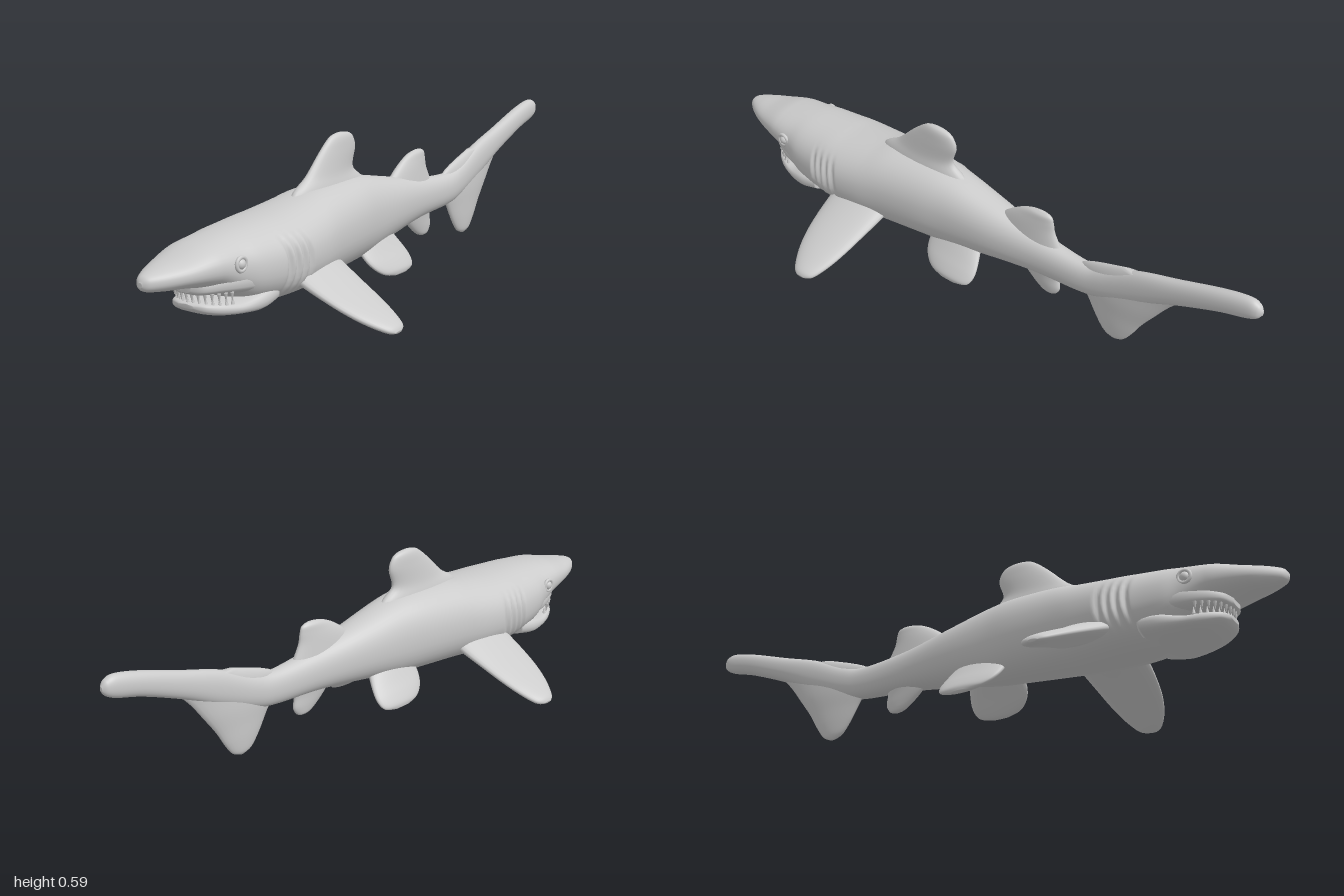
import * as THREE from 'three';

const grey = new THREE.MeshStandardMaterial({ color: 0xcccccc });

// Catmull-Rom blend of four values
function spline(a, b, c, d, t) {
  return 0.5 * (2 * b + (c - a) * t + (2 * a - 5 * b + 4 * c - d) * t * t + (3 * b - a - 3 * c + d) * t * t * t);
}

// Smooth skin through rows of [span, low, high, halfThickness].
// Chord lies on x, span on y, thickness on z; power < 1 squares the section.
function loft(rows, steps, sides, power = 1) {
  const row = (i) => rows[Math.min(Math.max(i, 0), rows.length - 1)];
  const rings = (rows.length - 1) * steps + 1;
  const pos = [], index = [];
  const bend = (v) => Math.sign(v) * Math.abs(v) ** power;
  for (let r = 0; r < rings; r++) {
    const k = Math.min(Math.floor(r / steps), rows.length - 2);
    const t = r / steps - k;
    const [span, lo, hi, thick] = [0, 1, 2, 3].map((n) =>
      spline(row(k - 1)[n], row(k)[n], row(k + 1)[n], row(k + 2)[n], t));
    for (let j = 0; j < sides; j++) {
      const a = (j / sides) * Math.PI * 2;
      pos.push((lo + hi) / 2 + ((hi - lo) / 2) * bend(Math.cos(a)), span, thick * bend(Math.sin(a)));
    }
  }
  for (let r = 0; r < rings - 1; r++) {
    for (let j = 0; j < sides; j++) {
      const a = r * sides + j, b = r * sides + ((j + 1) % sides);
      index.push(a, a + sides, b, a + sides, b + sides, b);
    }
  }
  const last = (rings - 1) * sides;
  for (let j = 1; j < sides - 1; j++) index.push(0, j, j + 1, last, last + j + 1, last + j);
  const geo = new THREE.BufferGeometry();
  geo.setAttribute('position', new THREE.Float32BufferAttribute(pos, 3));
  geo.setIndex(index);
  geo.computeVertexNormals();
  return geo;
}

// Lengthwise skin: rows are [forward, bottom, top, halfWidth], nose first
function hull(rows, steps, sides, power) {
  return loft(rows.map(([f, ...rest]) => [-f, ...rest]), steps, sides, power).rotateZ(Math.PI / 2);
}

export function createModel() {
  const shark = new THREE.Group();
  shark.name = 'shark';
  const add = (name, geo, x = 0, y = 0, z = 0, rx = 0) => {
    const mesh = new THREE.Mesh(geo, grey);
    mesh.name = name;
    mesh.position.set(x, y, z);
    mesh.rotation.x = rx;
    shark.add(mesh);
    return mesh;
  };

  // Body from the long snout to the tip of the upper tail lobe
  const body = hull([
    [1.222, 0.268, 0.285, 0.008], [1.205, 0.252, 0.304, 0.032], [1.15, 0.242, 0.32, 0.067],
    [1.08, 0.235, 0.335, 0.098], [1.0, 0.22, 0.358, 0.123], [0.95, 0.205, 0.367, 0.133],
    [0.88, 0.16, 0.377, 0.146], [0.82, 0.125, 0.384, 0.163], [0.74, 0.108, 0.39, 0.175],
    [0.67, 0.102, 0.395, 0.185], [0.6, 0.1, 0.4, 0.187], [0.48, 0.1, 0.415, 0.176],
    [0.37, 0.108, 0.432, 0.16], [0.2, 0.12, 0.438, 0.138], [0.08, 0.13, 0.428, 0.118],
    [-0.09, 0.16, 0.393, 0.094], [-0.3, 0.188, 0.35, 0.06], [-0.5, 0.2, 0.33, 0.042],
    [-0.6, 0.22, 0.35, 0.036], [-0.75, 0.28, 0.415, 0.032], [-0.9, 0.355, 0.462, 0.03],
    [-1.07, 0.425, 0.517, 0.03], [-1.17, 0.455, 0.54, 0.027], [-1.21, 0.473, 0.532, 0.02],
    [-1.227, 0.493, 0.512, 0.006],
  ], 14, 40, 0.9);
  // Gill slits: shallow curved grooves on both flanks
  const p = body.attributes.position;
  for (let i = 0; i < p.count; i++) {
    const y = p.getY(i), z = p.getZ(i);
    const f = p.getX(i) - 2 * (y - 0.25) ** 2;
    const high = Math.max(0, 1 - ((y - 0.25) / 0.1) ** 2);
    if (f > 0.57 && f < 0.71 && Math.abs(z) > 0.08) {
      p.setZ(i, z * (1 - 0.035 * high * (1 - Math.cos(((f - 0.57) / 0.035) * Math.PI * 2))));
    }
  }
  body.computeVertexNormals();
  add('body', body);

  // Jaws
  add('upperJaw', hull([
    [1.03, 0.208, 0.24, 0.03], [1.01, 0.198, 0.25, 0.075], [0.95, 0.19, 0.27, 0.115],
    [0.88, 0.18, 0.28, 0.143], [0.8, 0.17, 0.28, 0.155],
  ], 6, 32, 0.7));
  add('lowerJaw', hull([
    [1.02, 0.152, 0.166, 0.03], [1.0, 0.135, 0.172, 0.075], [0.95, 0.12, 0.172, 0.113],
    [0.88, 0.112, 0.168, 0.14], [0.8, 0.106, 0.19, 0.158], [0.72, 0.12, 0.2, 0.15],
  ], 6, 32, 0.7));

  // Teeth around both jaws
  const tooth = new THREE.ConeGeometry(0.007, 0.032, 6);
  for (let i = 0; i < 15; i++) {
    const a = ((i - 7) / 7) * 1.3;
    const x = 0.89 + 0.125 * Math.cos(a), z = 0.122 * Math.sin(a);
    add('upperTooth', tooth, x, 0.188, z, Math.PI);
    add('lowerTooth', tooth, x - 0.008, 0.176, z * 0.95);
  }

  // Eyes with raised lids
  for (const side of [-1, 1]) {
    add('eye', new THREE.SphereGeometry(0.02, 20, 14), 0.9, 0.295, side * 0.132);
    add('eyelid', new THREE.TorusGeometry(0.023, 0.007, 10, 28), 0.9, 0.295, side * 0.139);
  }

  // Upright fins: rows are [height, rear, front, halfThickness]
  const upright = {
    firstDorsalFin: [
      [0.34, 0, 0.5, 0.06], [0.42, 0.055, 0.46, 0.045], [0.47, 0.113, 0.385, 0.033],
      [0.54, 0.097, 0.312, 0.026], [0.58, 0.11, 0.265, 0.021], [0.598, 0.135, 0.235, 0.014],
      [0.605, 0.175, 0.2, 0.004],
    ],
    secondDorsalFin: [
      [0.3, -0.42, -0.06, 0.04], [0.38, -0.375, -0.14, 0.03], [0.425, -0.365, -0.2, 0.022],
      [0.45, -0.357, -0.25, 0.016], [0.461, -0.335, -0.295, 0.005],
    ],
    analFin: [
      [0.108, -0.37, -0.35, 0.005], [0.117, -0.39, -0.32, 0.014], [0.145, -0.405, -0.28, 0.02],
      [0.19, -0.4, -0.235, 0.026], [0.25, -0.41, -0.2, 0.035],
    ],
    lowerTailLobe: [
      [0.058, -0.67, -0.645, 0.005], [0.075, -0.702, -0.61, 0.014], [0.12, -0.735, -0.575, 0.02],
      [0.18, -0.77, -0.54, 0.024], [0.25, -0.82, -0.5, 0.028], [0.33, -0.88, -0.5, 0.026],
      [0.4, -0.95, -0.68, 0.02],
    ],
  };
  for (const [name, rows] of Object.entries(upright)) add(name, loft(rows, 6, 28));

  // Paired fins: rows are [reach, rear, front, halfThickness], swung out and down
  const pectoral = loft([
    [0, 0.35, 0.62, 0.05], [0.1, 0.36, 0.622, 0.038], [0.2, 0.375, 0.615, 0.03],
    [0.29, 0.39, 0.6, 0.026], [0.37, 0.41, 0.573, 0.023], [0.435, 0.438, 0.535, 0.017],
    [0.456, 0.472, 0.508, 0.005],
  ], 6, 28);
  const pelvic = loft([
    [0, -0.06, 0.16, 0.035], [0.08, -0.085, 0.16, 0.026], [0.13, -0.09, 0.14, 0.022],
    [0.165, -0.072, 0.1, 0.016], [0.18, -0.02, 0.045, 0.005],
  ], 6, 28);
  for (const [name, side] of [['left', -1], ['right', 1]]) {
    add(name + 'PectoralFin', pectoral, 0, 0.212, side * 0.06, side * THREE.MathUtils.degToRad(115));
    add(name + 'PelvicFin', pelvic, 0, 0.2, side * 0.04, side * THREE.MathUtils.degToRad(141));
  }

  // Swim diagonally, nose towards -x and +z
  shark.rotation.y = Math.atan2(-0.811, -0.585);
  const model = new THREE.Group();
  model.name = 'model';
  model.add(shark);
  return model;
}
